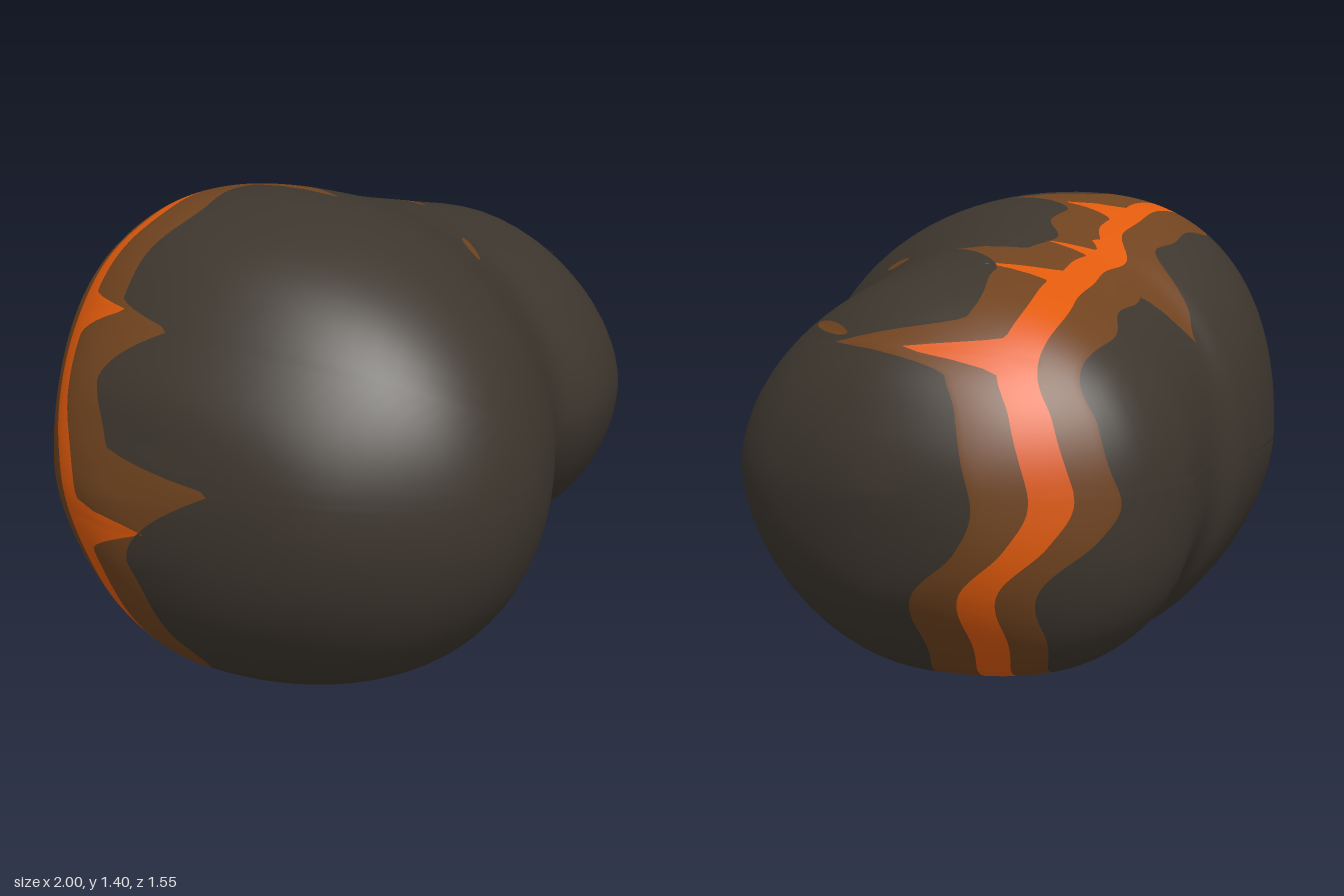
import * as THREE from 'three';

const material = (name, color) => new THREE.MeshStandardMaterial({ name, color });
const CENTRE = new THREE.Vector3(0, 0.7, -0.1);
const COLUMNS = 420;

// Smooth lookup of a value along x, from a few profile points
function profile(points) {
  const samples = new THREE.SplineCurve(points.map(p => new THREE.Vector2(...p))).getPoints(300);
  return x => {
    let i = samples.findIndex(s => s.x >= x);
    if (i < 0) i = samples.length - 1;
    if (i === 0) return samples[0].y;
    const a = samples[i - 1], b = samples[i];
    const t = THREE.MathUtils.clamp((x - a.x) / Math.max(b.x - a.x, 1e-6), 0, 1);
    return a.y + (b.y - a.y) * t;
  };
}

// Outline of the two-lobed boulder
const yTop = profile([[-1, 0.7], [-0.97, 0.86], [-0.91, 1.03], [-0.71, 1.275], [-0.49, 1.38], [-0.23, 1.4],
  [0.12, 1.315], [0.4, 1.255], [0.68, 1.185], [0.88, 1.03], [0.97, 0.86], [1, 0.7]]);
const yBottom = profile([[-1, 0.7], [-0.97, 0.5], [-0.85, 0.27], [-0.61, 0.08], [-0.31, 0], [-0.08, 0.04],
  [0.09, 0.11], [0.28, 0.215], [0.48, 0.165], [0.62, 0.155], [0.78, 0.23], [0.94, 0.43], [1, 0.7]]);
const zFront = profile([[-1, -0.1], [-0.97, 0.16], [-0.87, 0.47], [-0.65, 0.7], [-0.42, 0.775], [-0.15, 0.71],
  [0.22, 0.515], [0.45, 0.515], [0.68, 0.45], [0.87, 0.295], [0.97, 0.06], [1, -0.1]]);
const zBack = profile([[-1, -0.1], [-0.985, -0.22], [-0.91, -0.39], [-0.64, -0.61], [-0.35, -0.74], [-0.13, -0.78],
  [0.06, -0.775], [0.18, -0.74], [0.35, -0.755], [0.53, -0.77], [0.75, -0.69], [0.95, -0.4], [1, -0.1]]);

// Fullness of each quarter of the section: large lobe, small lobe
const FULLNESS = { frontTop: [2, 1.75], frontBottom: [2.1, 1.8], backTop: [2.4, 2.05], backBottom: [1.65, 2.8] };

// Each slice across x is a rounded section with its own four radii
function inside(p) {
  if (Math.abs(p.x) >= 1) return false;
  const dy = p.y - CENTRE.y, dz = p.z - CENTRE.z;
  const ry = Math.max(Math.abs((dy > 0 ? yTop(p.x) : yBottom(p.x)) - CENTRE.y), 1e-3);
  const rz = Math.max(Math.abs((dz > 0 ? zFront(p.x) : zBack(p.x)) - CENTRE.z), 1e-3);
  const quarter = FULLNESS[(dz > 0 ? 'front' : 'back') + (dy > 0 ? 'Top' : 'Bottom')];
  const power = THREE.MathUtils.lerp(...quarter, THREE.MathUtils.smoothstep(p.x, -0.25, 0.5));
  return Math.abs(dy / ry) ** power + Math.abs(dz / rz) ** power < 0.985;
}

// Surface point in a given direction from the centre
function project(direction) {
  let low = 0, high = 1.4;
  const p = new THREE.Vector3();
  for (let k = 0; k < 18; k++) {
    const mid = (low + high) / 2;
    p.copy(CENTRE).addScaledVector(direction, mid);
    if (inside(p)) low = mid; else high = mid;
  }
  return p;
}
const surface = (phi, theta) => project(new THREE.Vector3(
  Math.sin(theta) * Math.cos(phi), Math.sin(theta) * Math.sin(phi), Math.cos(theta)));

// Polar angle at which the surface reaches a depth z
function thetaAt(phi, z) {
  let low = 0.15, high = Math.PI - 0.25;
  for (let k = 0; k < 13; k++) {
    const mid = (low + high) / 2;
    if (surface(phi, mid).z > z) low = mid; else high = mid;
  }
  return (low + high) / 2;
}

// Course of the molten vein around the body: degrees, depth z
const veinDepth = profile([[-15, -0.37], [-8, -0.48], [0, -0.55], [12, -0.49], [22, -0.43], [45, -0.42], [60, -0.4],
  [75, -0.41], [90, -0.37], [110, -0.37], [130, -0.38], [150, -0.39], [165, -0.36], [180, -0.28], [200, -0.2],
  [215, -0.2], [230, -0.27], [245, -0.35], [260, -0.27], [272, -0.22], [285, -0.25], [300, -0.31], [315, -0.31],
  [325, -0.33], [335, -0.37], [345, -0.37], [352, -0.48], [360, -0.55], [372, -0.49]]);

// Tongues that lick out of the bands: degrees, width before and after the tip, length
const veinTongues = [[22, 3, 4, 0.27], [49, 3, 5, 0.2], [71, 3, 3, 0.15], [79, 8, 2, 0.03], [101, 7, 2.5, 0.19],
  [151, 3, 5, 0.17], [184, 2.5, 6, 0.25], [275, 3, 3, 0.06]];
const glowTongues = [[23, 5, 6, 0.34], [60, 14, 3, 0.2], [108, 13, 3, 0.25], [153, 4, 10, 0.2], [176, 4, 14, 0.33],
  [278, 8, 8, 0.08], [318, 6, 6, 0.05]];
const backTongues = [[63, 3, 26, 0.13], [205, 30, 25, 0.11], [250, 8, 8, 0.04], [290, 10, 10, 0.06]];
const tongue = (list, deg) => list.reduce((sum, [at, before, after, length]) =>
  sum + length * Math.max(0, 1 - Math.abs(deg - at) / (deg < at ? before : after)) ** 1.5, 0);

function bandEdges(deg) {
  const phi = THREE.MathUtils.degToRad(deg);
  const z = veinDepth(deg);
  const ripple = 0.012 * Math.sin(9 * phi) + 0.01 * Math.sin(17 * phi + 1);
  const half = 0.033 + 0.014 * Math.max(0, Math.cos(phi));
  return [
    z + 0.17 + ripple + tongue(glowTongues, deg),
    z + half + ripple * 0.5 + tongue(veinTongues, deg),
    z - half + ripple * 0.5,
    z - 0.14 + ripple - tongue(backTongues, deg),
  ].map(edge => thetaAt(phi, Math.max(edge, -0.69)));
}

// Skin made of five zones from front to back, with rows following the vein
function bodyGeometry() {
  const zones = [[26, 0], [8, 1], [4, 2], [6, 1], [18, 0]];
  const rowCount = zones.reduce((n, [rows]) => n + rows, 1);
  const positions = [], indices = [];
  for (let j = 0; j < COLUMNS; j++) {
    const deg = j * 360 / COLUMNS;
    const phi = THREE.MathUtils.degToRad(deg);
    const limits = [0, ...bandEdges(deg), Math.PI];
    positions.push(...surface(phi, 0));
    zones.forEach(([rows], k) => {
      for (let i = 1; i <= rows; i++) {
        positions.push(...surface(phi, THREE.MathUtils.lerp(limits[k], limits[k + 1], i / rows)));
      }
    });
  }
  const geometry = new THREE.BufferGeometry();
  let row = 0;
  for (const [rows, colour] of zones) {
    const start = indices.length;
    for (let i = 0; i < rows; i++, row++) {
      for (let j = 0; j < COLUMNS; j++) {
        const a = j * rowCount + row, b = ((j + 1) % COLUMNS) * rowCount + row;
        indices.push(a, a + 1, b + 1, a, b + 1, b);
      }
    }
    geometry.addGroup(start, indices.length - start, colour);
  }
  geometry.setAttribute('position', new THREE.Float32BufferAttribute(positions, 3));
  geometry.setIndex(indices);
  geometry.computeVertexNormals();
  return geometry;
}

// Small glowing fleck laid on the upper skin, drawn as a thin ellipse
function fleckGeometry(x, y, z, length, width, turn) {
  const geometry = new THREE.CircleGeometry(1, 16);
  const position = geometry.attributes.position;
  for (let i = 0; i < position.count; i++) {
    const u = position.getX(i) * length, v = position.getY(i) * width;
    const target = new THREE.Vector3(
      x + u * Math.cos(turn) - v * Math.sin(turn), y, z - u * Math.sin(turn) - v * Math.cos(turn));
    const direction = target.sub(CENTRE).normalize();
    const p = project(direction).addScaledVector(direction, 0.005);
    position.setXYZ(i, p.x, p.y, p.z);
  }
  geometry.computeVertexNormals();
  return geometry;
}

export function createModel() {
  const rock = material('dark rock', 0x3d362e);
  const glow = material('warm scorched rock', 0x70431f);
  const lava = material('molten orange', 0xe05a0c);

  const model = new THREE.Group();
  model.name = 'lavaBoulder';

  const body = new THREE.Mesh(bodyGeometry(), [rock, glow, lava]);
  body.name = 'boulderBody';
  model.add(body);

  // Stray flecks ahead of the vein
  const flecks = [[0.13, 1.17, 0.23, 0.07, 0.025, 1.05], [0.72, 1.06, 0.11, 0.1, 0.032, 0.75]];
  for (const fleck of flecks) {
    const mesh = new THREE.Mesh(fleckGeometry(...fleck), glow);
    mesh.name = 'glowFleck';
    model.add(mesh);
  }
  return model;
}
